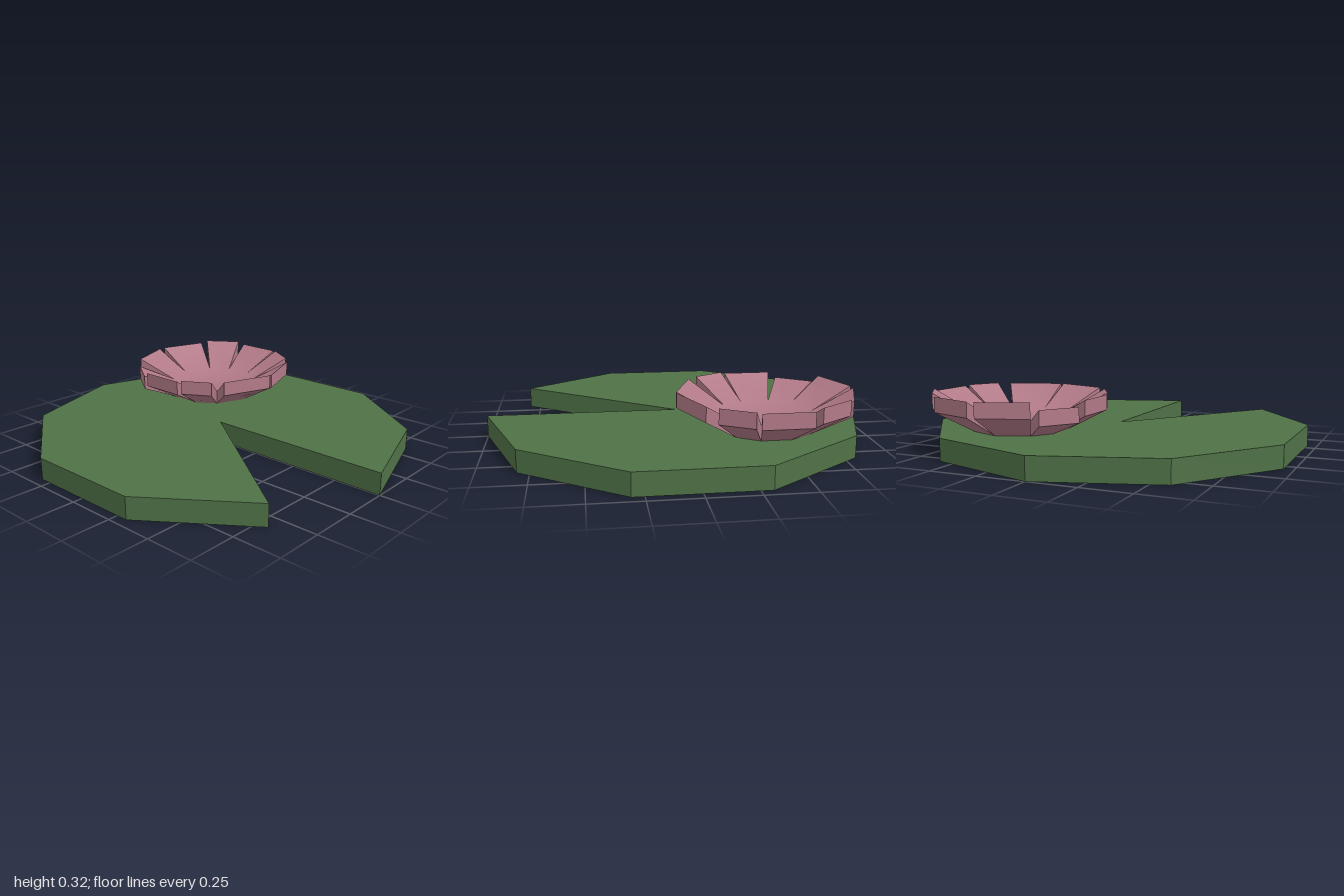
import * as THREE from 'three';
import { toCreasedNormals } from 'three/addons/utils/BufferGeometryUtils.js';

const RAD = Math.PI / 180;
const PAD_TOP = 0.113;

// Ten-sided leaf with one wedge left out
function makePad() {
  const shape = new THREE.Shape();
  shape.moveTo(0, 0);
  for (let k = 0; k < 10; k++) {
    const a = k * 36 * RAD;
    shape.lineTo(Math.cos(a), Math.sin(a));
  }
  shape.closePath();
  const geo = new THREE.ExtrudeGeometry(shape, { depth: PAD_TOP, bevelEnabled: false });
  geo.rotateX(-Math.PI / 2);
  const pad = new THREE.Mesh(geo, new THREE.MeshStandardMaterial({ color: 0x4f7146 }));
  pad.name = 'lilyPad';
  return pad;
}

// Shallow bowl: a thick disc whose rim is split into ten slanted petals
function makeFlower() {
  // angles of the slit ends, and per petal: start angle, end angle, tip lift
  const slits = [0, 42, 72, 108, 138, 180, 222, 252, 288, 318];
  const petals = [
    [1, 39, 0], [48, 71, 0.004], [74, 106, 0], [111, 138, 0.014], [143, 178, 0],
    [183, 217, 0], [222, 249, -0.036], [254, 286, -0.008], [289, 311.5, 0], [320.5, 359, 0],
  ];
  const innerR = 0.238, tipR = 0.447;
  const innerTop = 0.185, innerBottom = 0.11;
  const tipTop = 0.303, tipBottom = 0.226;

  const pos = [];
  const point = (deg, r, y) => [r * Math.cos(deg * RAD), y, -r * Math.sin(deg * RAD)];
  const tri = (...corners) => corners.forEach((c) => pos.push(...c));
  const quad = (a, b, c, d) => { tri(a, b, c); tri(a, c, d); };

  petals.forEach(([start, end, lift], i) => {
    const s0 = slits[i], s1 = slits[(i + 1) % 10];
    const a = point(s0, innerR, innerTop), b = point(s1, innerR, innerTop);
    const c = point(end, tipR, tipTop + lift), d = point(start, tipR, tipTop + lift);
    const e = point(s0, innerR, innerBottom), f = point(s1, innerR, innerBottom);
    const g = point(end, tipR, tipBottom + lift), h = point(start, tipR, tipBottom + lift);
    tri([0, innerTop, 0], a, b); // disc top
    tri([0, innerBottom, 0], f, e); // disc underside
    quad(a, d, c, b); // petal top
    quad(e, f, g, h); // petal underside
    quad(h, g, c, d); // tip
    quad(e, h, d, a); // sides along the slits
    quad(g, f, b, c);
  });

  const geo = new THREE.BufferGeometry();
  geo.setAttribute('position', new THREE.Float32BufferAttribute(pos, 3));
  const flower = new THREE.Mesh(
    toCreasedNormals(geo, 0.8),
    new THREE.MeshStandardMaterial({ color: 0xb27a88 }),
  );
  flower.name = 'flower';
  flower.position.set(-0.405, 0, -0.38);
  return flower;
}

export function createModel() {
  const model = new THREE.Group();
  model.name = 'lilyPadWithFlower';
  model.add(makePad(), makeFlower());
  return model;
}
